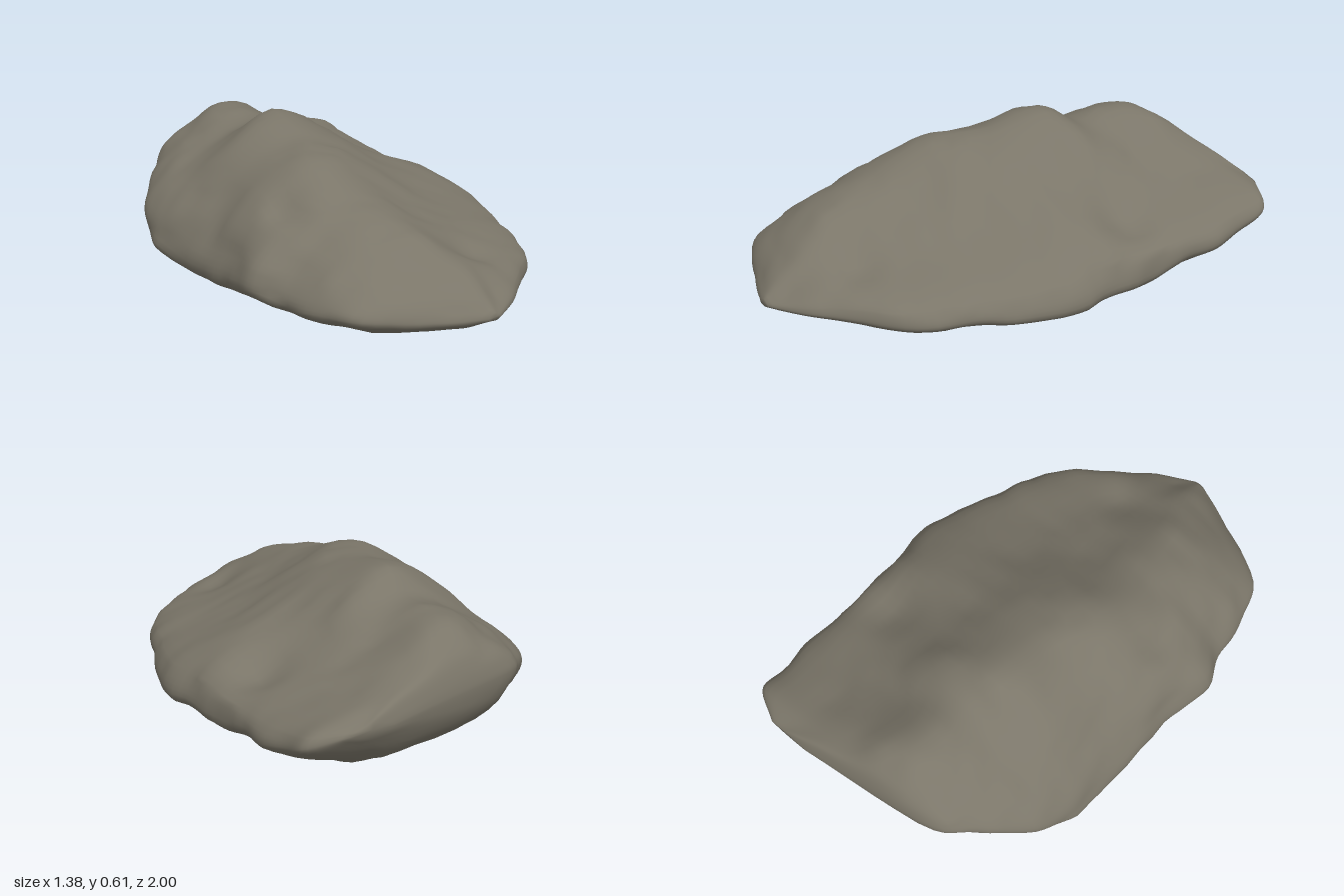
import * as THREE from 'three';

// Cross-sections from front to back:
// z, left x, right x, left rim y, right rim y, ridge x, ridge y, left slope y, right slope y, base y
const SECTIONS = [
  [1.00, -0.11, -0.05, 0.11, 0.11, -0.08, 0.13, 0.125, 0.125, 0.10],
  [0.93, -0.28, 0.08, 0.11, 0.11, -0.10, 0.185, 0.16, 0.16, 0.07],
  [0.80, -0.52, 0.25, 0.13, 0.11, -0.15, 0.27, 0.23, 0.22, 0.045],
  [0.63, -0.61, 0.44, 0.12, 0.10, -0.20, 0.37, 0.31, 0.25, 0.03],
  [0.45, -0.62, 0.53, 0.11, 0.11, -0.22, 0.435, 0.35, 0.29, 0.02],
  [0.30, -0.69, 0.60, 0.14, 0.10, -0.25, 0.49, 0.37, 0.32, 0.015],
  [0.10, -0.65, 0.66, 0.10, 0.10, -0.20, 0.55, 0.42, 0.375, 0.005],
  [-0.10, -0.63, 0.66, 0.08, 0.12, -0.12, 0.57, 0.43, 0.415, 0.01],
  [-0.33, -0.62, 0.67, 0.09, 0.13, -0.09, 0.625, 0.44, 0.415, 0.03],
  [-0.50, -0.61, 0.67, 0.12, 0.16, -0.02, 0.54, 0.42, 0.38, 0.045],
  [-0.65, -0.54, 0.67, 0.20, 0.18, -0.05, 0.555, 0.43, 0.38, 0.06],
  [-0.80, -0.40, 0.66, 0.29, 0.22, 0.00, 0.54, 0.45, 0.38, 0.08],
  [-0.92, -0.23, 0.65, 0.34, 0.27, 0.10, 0.46, 0.43, 0.38, 0.18],
  [-1.00, 0.33, 0.52, 0.32, 0.32, 0.43, 0.35, 0.34, 0.34, 0.30],
];

// Hollows and knobs on the upper face: x, z, radius, height
const DENTS = [
  [0.47, -0.35, 0.13, -0.06], [0.12, -0.60, 0.12, -0.03], [0.10, 0.68, 0.09, -0.03],
  [-0.20, 0.40, 0.07, -0.015], [-0.45, 0.22, 0.07, -0.03], [0.50, -0.80, 0.13, 0.01],
];

// Value noise in -1..1 on a seeded lattice
function hash(x, y, z) {
  const s = Math.sin(x * 127.1 + y * 311.7 + z * 74.7) * 43758.5453;
  return (s - Math.floor(s)) * 2 - 1;
}
function noise(x, y, z) {
  const c = [x, y, z].map(Math.floor);
  const f = [x - c[0], y - c[1], z - c[2]];
  let sum = 0;
  for (let k = 0; k < 8; k++) {
    const o = [k & 1, (k >> 1) & 1, k >> 2];
    const w = o.reduce((a, b, i) => a * (b ? f[i] : 1 - f[i]), 1);
    sum += w * hash(c[0] + o[0], c[1] + o[1], c[2] + o[2]);
  }
  return sum;
}

// Ten outline points of one section, running over the top and back underneath
function outline([z, xl, xr, yl, yr, rx, ry, hl, hr, yb]) {
  const mix = THREE.MathUtils.lerp;
  return [
    [xl, yl], [mix(xl, rx, 0.09), mix(yl, hl, 0.45)], [mix(xl, rx, 0.42), hl], [rx, ry],
    [mix(rx, xr, 0.5), hr], [mix(xr, rx, 0.05), mix(yr, hr, 0.42)], [xr, yr],
    [mix(xl, xr, 0.85), mix(yb, yr, 0.4)], [mix(xl, xr, 0.6), yb], [mix(xl, xr, 0.11), mix(yb, yl, 0.38)],
  ].map(([x, y]) => new THREE.Vector3(x, y, z));
}

function rockGeometry(rings = 70, sides = 64) {
  const outlines = SECTIONS.map(outline);
  const rails = outlines[0].map((_, k) =>
    new THREE.CatmullRomCurve3(outlines.map((o) => o[k]), false, 'catmullrom', 0.5));
  const points = [];

  for (let i = 0; i <= rings; i++) {
    const section = rails.map((r) => r.getPoint(i / rings));
    const centre = section.reduce((a, p) => a.add(p), new THREE.Vector3()).divideScalar(section.length);
    const loop = new THREE.CatmullRomCurve3(section, true);
    const fade = Math.min(1, i / 6, (rings - i) / 6);
    for (let j = 0; j < sides; j++) {
      const p = loop.getPoint(j / sides);
      // Chipped surface
      const n = 0.015 * noise(p.x * 6, p.y * 6, p.z * 6) + 0.012 * noise(p.x * 13, p.y * 13, p.z * 13);
      const out = p.clone().sub(centre).normalize();
      const under = THREE.MathUtils.smoothstep(p.y, 0.02, 0.12);
      p.addScaledVector(out, n * fade * (0.3 + 0.7 * under));
      // Hollows and knobs
      const top = THREE.MathUtils.smoothstep(p.y, 0.15, 0.28) * (out.y > 0 ? 1 : 0);
      for (const [x, z, r, h] of DENTS) {
        p.y += top * h * Math.exp(-((p.x - x) ** 2 + (p.z - z) ** 2) / (r * r));
      }
      points.push(p);
    }
  }

  // Skin between rings
  const index = [];
  for (let i = 0; i < rings; i++) {
    for (let j = 0; j < sides; j++) {
      const k = (j + 1) % sides;
      const a = i * sides + j, b = a + sides, c = i * sides + k, d = c + sides;
      index.push(a, c, b, c, d, b);
    }
  }
  // Small end caps
  for (const ring of [0, rings]) {
    const start = ring * sides;
    const centre = new THREE.Vector3();
    for (let j = 0; j < sides; j++) centre.addScaledVector(points[start + j], 1 / sides);
    const m = points.push(centre) - 1;
    for (let j = 0; j < sides; j++) {
      const a = start + j, b = start + (j + 1) % sides;
      if (ring === 0) index.push(m, b, a);
      else index.push(m, a, b);
    }
  }

  const geometry = new THREE.BufferGeometry().setFromPoints(points);
  geometry.setIndex(index);
  geometry.computeBoundingBox();
  geometry.translate(0, -geometry.boundingBox.min.y, 0);
  geometry.computeVertexNormals();
  return geometry;
}

export function createModel() {
  const stone = new THREE.MeshStandardMaterial({ color: 0x7b7669 });
  stone.name = 'greyBrownStone';
  const rock = new THREE.Mesh(rockGeometry(), stone);
  rock.name = 'rock';
  const group = new THREE.Group();
  group.name = 'boulder';
  group.add(rock);
  return group;
}
